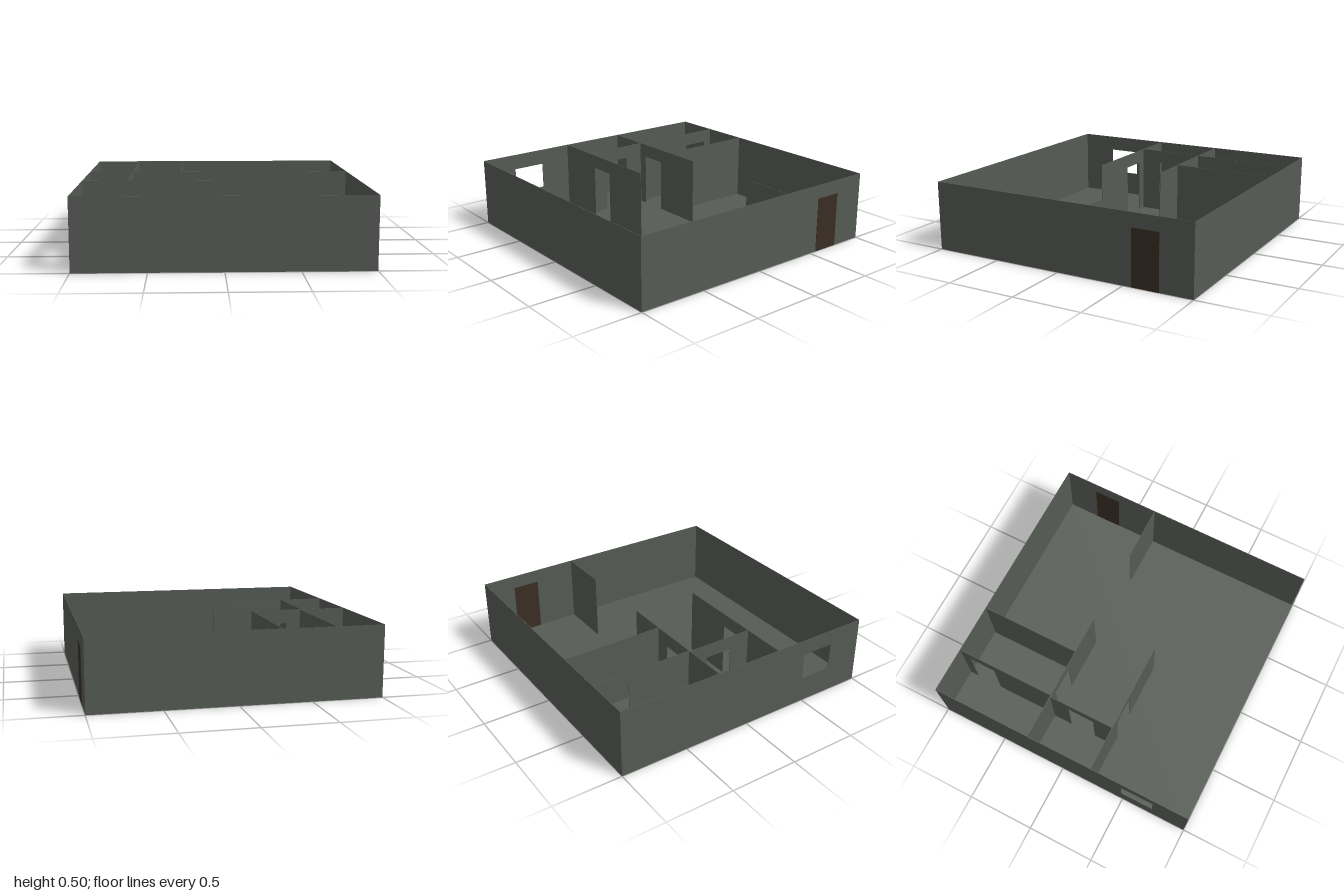
import * as THREE from 'three';

const H = 0.5;       // wall height
const T = 0.004;     // wall thickness
const E = 0.9965;    // centre line of the outer walls
const DOOR_H = 0.4;

export function createModel() {
  const model = new THREE.Group();
  const plaster = new THREE.MeshStandardMaterial({ color: 0x565b55 });
  plaster.name = 'grey plaster';
  const wood = new THREE.MeshStandardMaterial({ color: 0x3a2e24 });
  wood.name = 'dark brown wood';

  function add(name, geometry, material) {
    const mesh = new THREE.Mesh(geometry, material);
    mesh.name = name;
    model.add(mesh);
    return mesh;
  }

  // Upright panel from a to b, with an optional doorway [a, b] and window [a, b, bottom, top]
  function panel(a, b, doorway, window) {
    const points = [[a, 0]];
    if (doorway) {
      const [d0, d1] = doorway;
      points.push([d0, 0], [d0, DOOR_H], [d1, DOOR_H], [d1, 0]);
    }
    points.push([b, 0], [b, H], [a, H]);
    const shape = new THREE.Shape(points.map(([u, v]) => new THREE.Vector2(u, v)));
    if (window) {
      const [w0, w1, v0, v1] = window;
      const hole = [[w0, v0], [w0, v1], [w1, v1], [w1, v0]];
      shape.holes.push(new THREE.Path(hole.map(([u, v]) => new THREE.Vector2(u, v))));
    }
    return new THREE.ExtrudeGeometry(shape, { depth: T, bevelEnabled: false }).translate(0, 0, -T / 2);
  }

  // Wall running along x at a given z
  function wallAlongX(name, z, x0, x1, doorway) {
    add(name, panel(x0, x1, doorway).translate(0, 0, z), plaster);
  }

  // Wall running along z at a given x
  function wallAlongZ(name, x, z0, z1, doorway, window) {
    add(name, panel(z0, z1, doorway, window).rotateY(-Math.PI / 2).translate(x, 0, 0), plaster);
  }

  // Floor slab
  add('floor', new THREE.BoxGeometry(2 * E, T, 2 * E).translate(0, T / 2, 0), plaster);

  // Outer walls
  const R = E + T / 2;
  wallAlongX('frontWall', E + 0.0015, -R, R);
  wallAlongX('backWall', -E - 0.0015, -R, R);
  wallAlongZ('leftWall', E, -E, E, [-0.76, -0.56]);
  wallAlongZ('rightWall', -E - 0.0015, -E, E, null, [0.49, 0.735, 0.19, 0.385]);

  // Room partitions
  wallAlongX('frontPartition', 0.25, -E, 0, [-0.6, -0.4]);
  wallAlongX('middlePartition', -0.25, -E, 0, [-0.6, -0.4]);
  wallAlongX('entryPartition', -0.25, 0.595, E);
  wallAlongZ('hallPartition', -0.67, -0.25, 0.25, [-0.105, 0.095]);
  wallAlongZ('backRoomPartition', -0.66, -E, -0.25, [-0.93, -0.73]);
  wallAlongZ('backRoomEndWall', -0.29, -E, -0.25);

  // Entry door filling the doorway of the outer wall
  add('entryDoor', new THREE.BoxGeometry(0.007, DOOR_H, 0.2).translate(0.9965, DOOR_H / 2, -0.66), wood);

  return model;
}
